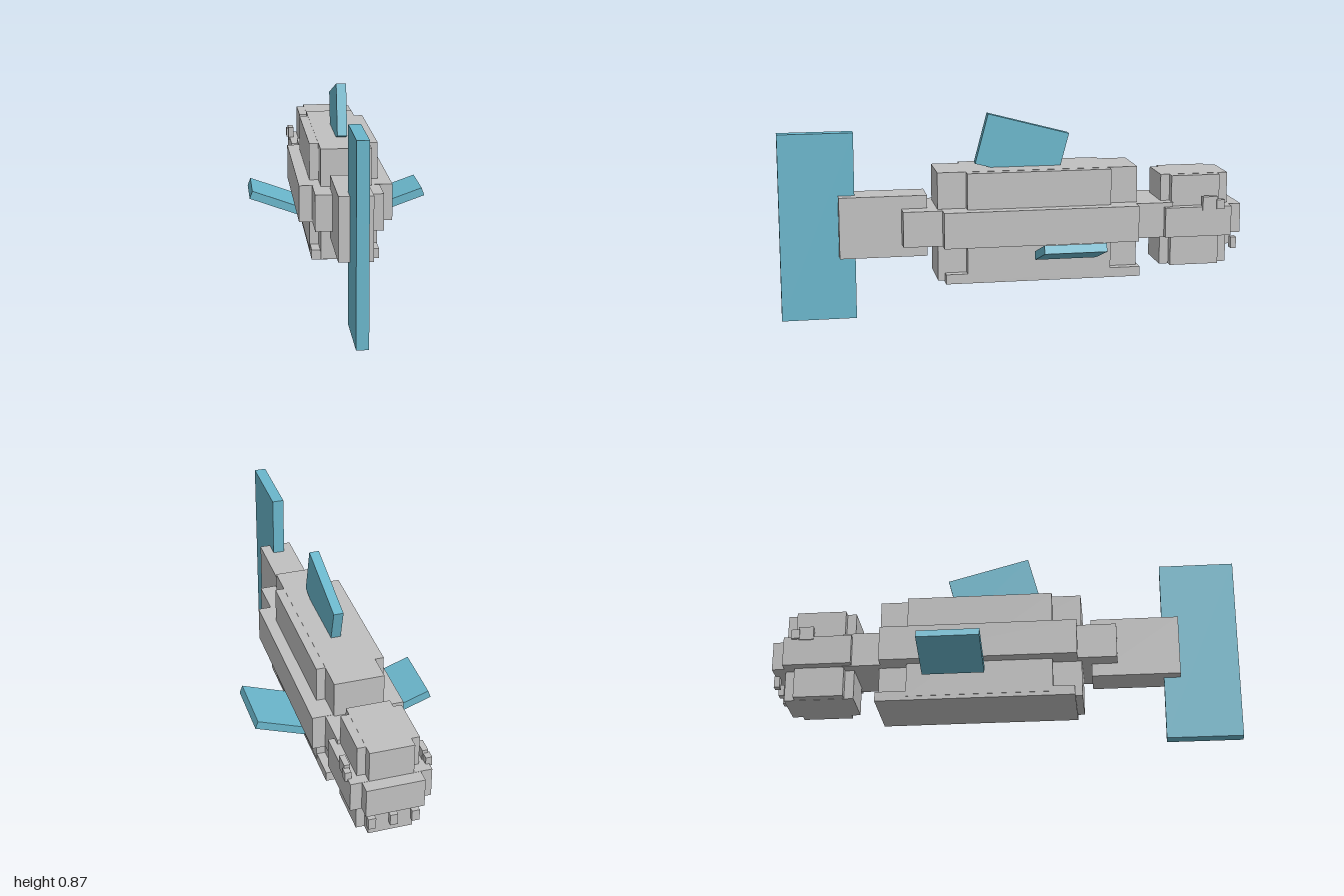
import * as THREE from 'three';

export function createModel() {
  const model = new THREE.Group();
  model.name = 'blockShark';

  const skin = new THREE.MeshStandardMaterial({ color: 0xc0c0c0 });
  skin.name = 'greySkin';
  const teal = new THREE.MeshStandardMaterial({ color: 0x6ab6cb });
  teal.name = 'tealFin';

  // Box given by its limits on each axis
  function block(name, material, [x0, x1], [y0, y1], [z0, z1]) {
    const mesh = new THREE.Mesh(new THREE.BoxGeometry(x1 - x0, y1 - y0, z1 - z0), material);
    mesh.position.set((x0 + x1) / 2, (y0 + y1) / 2, (z0 + z1) / 2);
    mesh.name = name;
    model.add(mesh);
    return mesh;
  }
  // Box centred on x
  const centred = (name, material, half, y, z) => block(name, material, [-half, half], y, z);

  // Body: crossed blocks with stepped corners
  centred('bodyCore', skin, 0.106, [0.172, 0.642], [-0.535, 0.335]);
  centred('bodyFlanks', skin, 0.144, [0.18, 0.641], [-0.412, 0.212]);
  centred('bodySides', skin, 0.195, [0.33, 0.485], [-0.525, 0.318]);
  centred('spineBlock', skin, 0.14, [0.331, 0.484], [-0.69, 0.485]);
  centred('bellyPlate', skin, 0.142, [0.163, 0.205], [-0.545, 0.305]);

  // Head: tall skull and wide jaw, both with stepped corners
  centred('skullCore', skin, 0.092, [0.2, 0.6], [-0.945, -0.645]);
  centred('skullSides', skin, 0.127, [0.201, 0.599], [-0.9, -0.685]);
  centred('cheeks', skin, 0.167, [0.335, 0.465], [-0.945, -0.65]);
  centred('snout', skin, 0.12, [0.336, 0.464], [-1, -0.66]);

  // Teeth
  for (const x of [-0.09, 0, 0.09]) {
    block('tooth', skin, [x - 0.016, x + 0.016], [0.26, 0.31], [-0.99, -0.966]);
  }

  // Tail
  centred('tailStem', skin, 0.07, [0.275, 0.54], [0.375, 0.75]);
  centred('tailFin', teal, 0.025, [0, 0.81], [0.68, 1]);

  // Dorsal fin, tipped up at its rear
  const dorsal = centred('dorsalFin', teal, 0.021, [0.609, 0.831], [-0.229, 0.137]);
  dorsal.rotation.x = -0.26;

  // Mirrored eyes and side fins
  for (const s of [-1, 1]) {
    const span = (a, b) => (s > 0 ? [a, b] : [-b, -a]);
    block('eye', skin, span(0.148, 0.172), [0.45, 0.51], [-0.88, -0.815]);
    block('pupil', skin, span(0.152, 0.178), [0.455, 0.496], [-0.91, -0.875]);
    const fin = block('sideFin', teal, span(0.1625, 0.3875), [0.3, 0.336], [-0.34, -0.075]);
    fin.rotation.z = s * 0.345;
  }
  return model;
}
